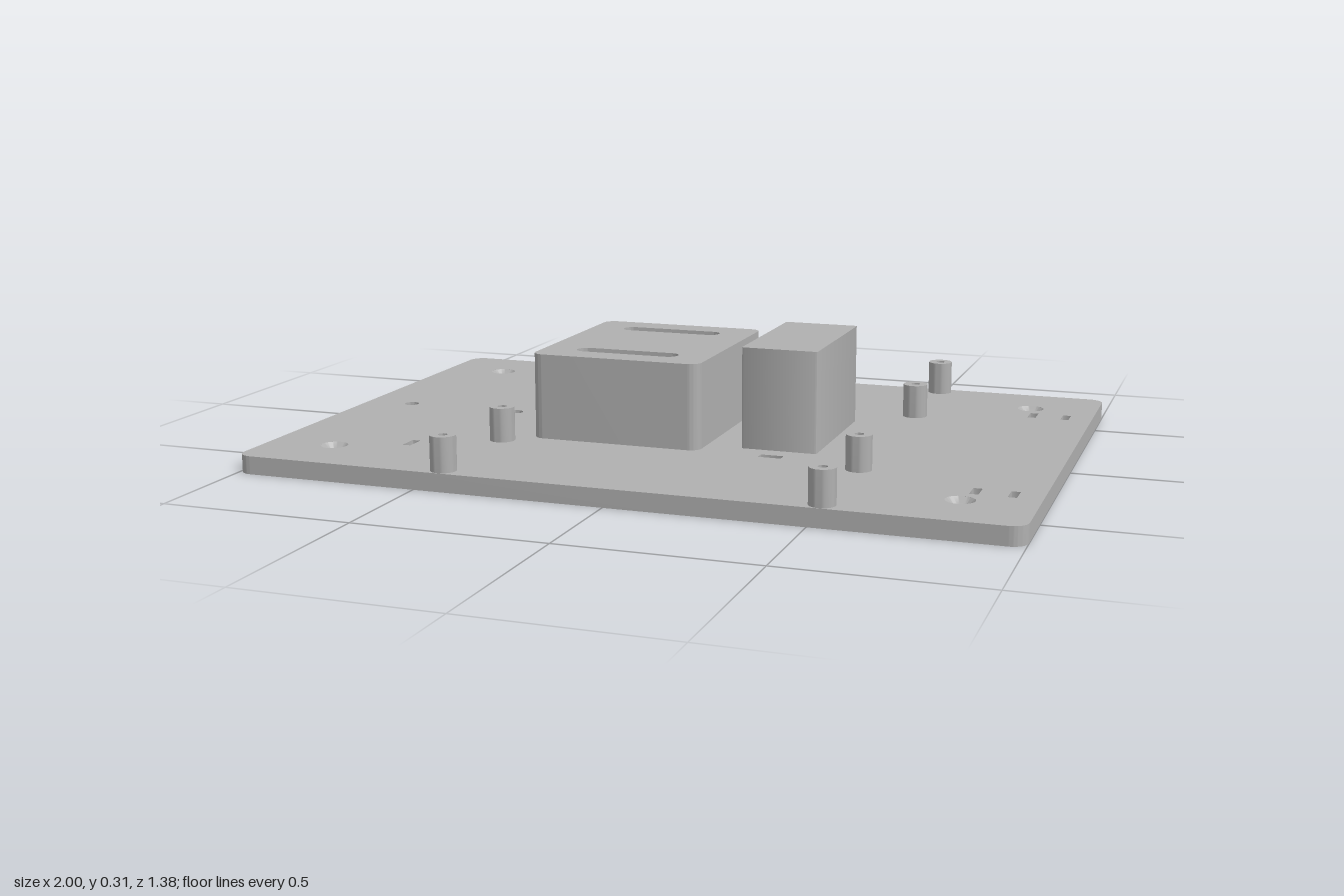
import * as THREE from 'three';
import { toCreasedNormals } from 'three/addons/utils/BufferGeometryUtils.js';

const PLATE_H = 0.047;

// Traces a rounded rectangle, w by d, centred on (x, z), onto a Shape or Path.
function roundRect(path, x, z, w, d, r) {
  const a = w / 2 - r, b = d / 2 - r, q = Math.PI / 2;
  const corners = [[a, b], [-a, b], [-a, -b], [a, -b]];
  path.moveTo(x + w / 2, -z + b);
  corners.forEach(([cx, cy], i) => path.absarc(x + cx, -z + cy, r, i * q, (i + 1) * q, false));
  path.closePath();
  return path;
}

const rectHole = (x, z, w, d, r = 0.001) => roundRect(new THREE.Path(), x, z, w, d, r);
const roundHole = (x, z, r) => new THREE.Path().absarc(x, -z, r, 0, Math.PI * 2, true);

// Extrudes a plan outline upwards from y0 to y1.
function slab(shape, y0, y1) {
  const geo = new THREE.ExtrudeGeometry(shape, { depth: y1 - y0, bevelEnabled: false, curveSegments: 16 });
  geo.rotateX(-Math.PI / 2).translate(0, y0, 0);
  return toCreasedNormals(geo, 0.6);
}

export function createModel() {
  const model = new THREE.Group();
  model.name = 'mountingPlate';
  const grey = new THREE.MeshStandardMaterial({ color: 0xb0b0b0 });
  grey.name = 'grey';

  const add = (name, geo, x = 0, z = 0) => {
    const mesh = new THREE.Mesh(geo, grey);
    mesh.name = name;
    mesh.position.set(x, 0, z);
    model.add(mesh);
  };

  // Long slots pass through both the block and the plate
  const longSlots = () => [-0.169, 0.169].map((z) => rectHole(-0.137, z, 0.281, 0.052, 0.0255));

  // Base plate with all its openings
  const plate = roundRect(new THREE.Shape(), 0, 0, 2, 1.384, 0.04);
  plate.holes.push(...longSlots());
  for (const x of [-0.867, -0.54]) plate.holes.push(roundHole(x, 0, 0.02));
  for (const side of [-1, 1]) {
    for (const x of [-0.642, -0.551, 0.838, 0.928]) plate.holes.push(rectHole(x, side * 0.427, 0.022, 0.055));
    plate.holes.push(rectHole(0.286, side * 0.263, 0.06, 0.026));
    for (const x of [-0.82, 0.818]) plate.holes.push(roundHole(x, side * 0.514, 0.036));
  }
  add('basePlate', slab(plate, 0, PLATE_H));

  // Countersunk screw seats set into the corner holes
  const seatProfile = [[0.036, PLATE_H], [0.02, PLATE_H - 0.016], [0.02, 0], [0.036, 0]];
  const seat = toCreasedNormals(
    new THREE.LatheGeometry(seatProfile.map(([r, y]) => new THREE.Vector2(r, y)), 48), 0.6);
  for (const x of [-0.82, 0.818]) for (const z of [-0.514, 0.514]) add('screwSeat', seat, x, z);

  // Slotted block
  const block = roundRect(new THREE.Shape(), -0.137, 0, 0.462, 0.54, 0.03);
  block.holes.push(...longSlots());
  add('slottedBlock', slab(block, PLATE_H, 0.272));

  // Tall plain block
  add('tallBlock', slab(roundRect(new THREE.Shape(), 0.288, 0, 0.2, 0.404, 0.006), PLATE_H, 0.311));

  // Standoffs with blind bores
  const ring = new THREE.Shape().absarc(0, 0, 0.033, 0, Math.PI * 2, false);
  ring.holes.push(roundHole(0, 0, 0.012));
  const standoff = slab(ring, PLATE_H, 0.137);
  for (const x of [-0.432, 0.528]) {
    for (const z of [-0.657, -0.318, 0.318, 0.657]) add('standoff', standoff, x, z);
  }

  return model;
}
